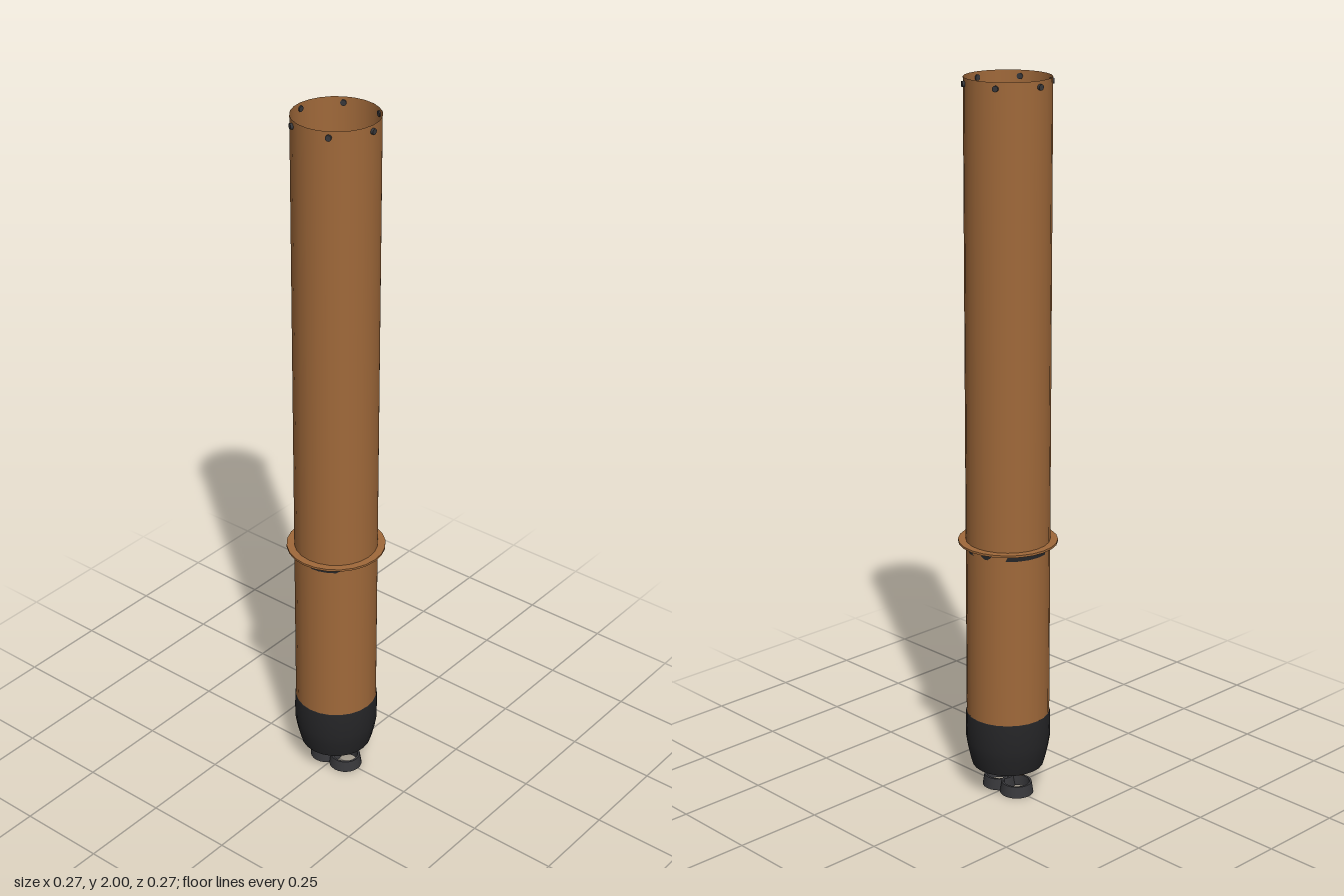
import * as THREE from 'three';

const mat = (color) => new THREE.MeshStandardMaterial({ color, side: THREE.DoubleSide });
const SEG = 24;

export function createModel() {
  const group = new THREE.Group();
  const brown = mat(0xa0693a), dark = mat(0x252527), grey = mat(0x77777a), steel = mat(0x38383b);

  const add = (name, geometry, material, x = 0, y = 0, z = 0) => {
    const mesh = new THREE.Mesh(geometry, material);
    mesh.name = name;
    mesh.position.set(x, y, z);
    group.add(mesh);
    return mesh;
  };
  // open tube between two heights
  const tube = (r, y0, y1) => new THREE.CylinderGeometry(r, r, y1 - y0, SEG, 1, true).translate(0, (y0 + y1) / 2, 0);
  // closed ring with a sharp-edged cross-section, given as [radius, height] corners
  const ring = (corners) => {
    const pts = [...corners, corners[0]].map(([r, y]) => new THREE.Vector2(r, y));
    const flat = [];
    for (let i = 0; i < pts.length - 1; i++) flat.push(new THREE.LatheGeometry([pts[i], pts[i + 1]], SEG));
    return flat;
  };
  const addRing = (name, corners, material, x = 0, y = 0) => {
    const part = new THREE.Group();
    part.name = name;
    part.position.set(x, y, 0);
    ring(corners).forEach((g) => {
      const face = new THREE.Mesh(g, material);
      face.name = name + 'Face';
      part.add(face);
    });
    group.add(part);
  };

  // main body tube, open at the top
  add('bodyTube', tube(0.115, 0.23, 2), brown);

  // thin collar around the body
  addRing('collar', [[0.115, -0.003], [0.136, -0.003], [0.136, 0.003], [0.115, 0.003]], brown, 0, 0.745);

  // hollow tapered tail
  const tail = [[0.1, 0.083], [0.105, 0.1], [0.112, 0.13], [0.117, 0.16], [0.118, 0.2], [0.117, 0.24], [0.115, 0.241]];
  add('tailCone', new THREE.LatheGeometry(tail.map(([r, y]) => new THREE.Vector2(r, y)), SEG), dark);

  // internal discs: centring plate in the tail, bulkhead inside the body
  add('centringPlate', new THREE.CylinderGeometry(0.114, 0.114, 0.01, SEG), dark, 0, 0.22);
  add('bulkhead', new THREE.CylinderGeometry(0.115, 0.115, 0.015, SEG), dark, 0, 0.73);

  // twin inner tubes with their retaining rings and the posts on the bulkhead
  for (const side of [-1, 1]) {
    const x = side * 0.035;
    add('innerTube', tube(0.036, 0.065, 0.72), brown, x);
    addRing('retainerRing', [[0.036, 0], [0.047, 0], [0.042, 0.032], [0.036, 0.032]], steel, x);
    add('bulkheadPost', new THREE.CylinderGeometry(0.017, 0.017, 0.04, 16), grey, side * 0.034, 0.75);
  }

  // six screws around the top rim
  for (let i = 0; i < 6; i++) {
    const a = (i * Math.PI) / 3;
    const screw = add('rimScrew', new THREE.CylinderGeometry(0.008, 0.008, 0.01, 12).rotateZ(Math.PI / 2),
      steel, Math.cos(a) * 0.116, 1.984, Math.sin(a) * 0.116);
    screw.rotation.y = -a;
  }
  return group;
}
